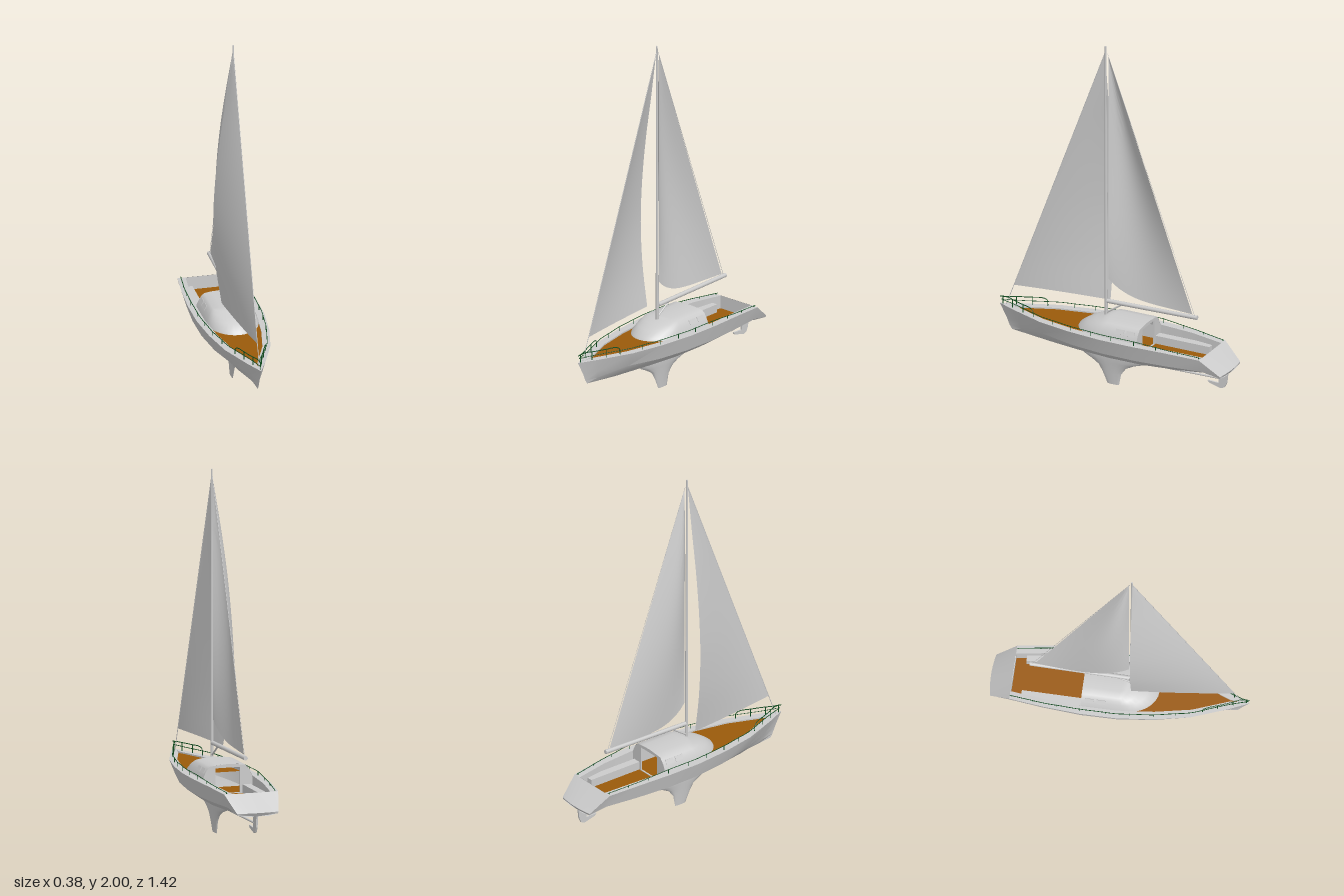
import * as THREE from 'three';
import { toCreasedNormals } from 'three/addons/utils/BufferGeometryUtils.js';

const GREY = 0xcccccc, WOOD = 0x9a5a0a, GREEN = 0x0f4d1f;
const V = (x, y, z) => new THREE.Vector3(x, y, z);
const lerp = THREE.MathUtils.lerp;
const range = (n, f) => Array.from({ length: n + 1 }, (_, i) => f(i / n));

function material(color) {
  return new THREE.MeshStandardMaterial({ color, side: THREE.DoubleSide });
}

function add(group, name, geometry, color = GREY) {
  const mesh = new THREE.Mesh(geometry, material(color));
  mesh.name = name;
  group.add(mesh);
  return mesh;
}

// Skin through rows of [x, y, z] points, all rows of equal length
function skin(rows, crease = 0.5) {
  const n = rows[0].length, index = [];
  for (let i = 0; i < rows.length - 1; i++) {
    for (let j = 0; j < n - 1; j++) {
      const a = i * n + j, b = a + n;
      index.push(a, b, a + 1, b, b + 1, a + 1);
    }
  }
  const g = new THREE.BufferGeometry();
  g.setAttribute('position', new THREE.Float32BufferAttribute(rows.flat(2), 3));
  g.setIndex(index);
  return toCreasedNormals(g, crease);
}

function rod(group, name, a, b, r, color = GREY, r2 = r) {
  const m = add(group, name, new THREE.CylinderGeometry(r2, r, a.distanceTo(b), 10), color);
  m.position.copy(a).add(b).multiplyScalar(0.5);
  m.quaternion.setFromUnitVectors(V(0, 1, 0), b.clone().sub(a).normalize());
  return m;
}

function tube(group, name, points, r, color) {
  const curve = new THREE.CatmullRomCurve3(points, false, 'centripetal');
  return add(group, name, new THREE.TubeGeometry(curve, points.length * 5, r, 6), color);
}

// Flat plate drawn in (z, y), with its thickness along x
function plate(points, t) {
  const s = new THREE.Shape(points.map(([z, y]) => new THREE.Vector2(-z, y)));
  const g = new THREE.ExtrudeGeometry(s, { depth: t, bevelEnabled: false });
  return g.translate(0, 0, -t / 2).rotateY(Math.PI / 2);
}

// Hull stations: sheer z, half width, y; keel z, y; chine half width, y
const STATIONS = [
  [0.71, 0, 0.34, 0.635, 0.2, 0, 0.262],
  [0.6, 0.05, 0.34, 0.56, 0.192, 0.03, 0.262],
  [0.4, 0.127, 0.34, 0.4, 0.175, 0.092, 0.257],
  [0.2, 0.168, 0.34, 0.2, 0.162, 0.138, 0.25],
  [0, 0.19, 0.34, 0, 0.155, 0.162, 0.248],
  [-0.2, 0.192, 0.34, -0.2, 0.157, 0.165, 0.247],
  [-0.4, 0.179, 0.337, -0.4, 0.174, 0.152, 0.248],
  [-0.59, 0.155, 0.325, -0.59, 0.2, 0.132, 0.25],
  [-0.7, 0.12, 0.235, -0.7, 0.215, 0.115, 0.225],
];

// Sheer half width and height at z
function sheer(z) {
  let i = 1;
  while (i < STATIONS.length - 1 && STATIONS[i][0] > z) i++;
  const a = STATIONS[i - 1], b = STATIONS[i], t = (z - a[0]) / (b[0] - a[0]);
  return { w: lerp(a[1], b[1], t), y: lerp(a[2], b[2], t) };
}
const inner = z => Math.max(sheer(z).w - 0.045, 0);

function buildHull(boat) {
  add(boat, 'hull', skin(STATIONS.map(([zs, w, y, zk, yk, wc, yc]) => {
    const half = [[w, y, zs], [wc, yc, lerp(zs, zk, 0.57)],
      [wc * 0.5, lerp(yc, yk, 0.55) - 0.006, lerp(zs, zk, 0.8)]];
    const mirrored = half.map(([x, py, z]) => [-x, py, z]).reverse();
    return [...half, [0, yk, zk], ...mirrored];
  }), 0.4));
  const across = f => range(12, t => f(t * 2 - 1));
  add(boat, 'transom', skin([
    across(u => [0.155 * u, 0.325, -0.59]),
    across(u => [0.12 * u, 0.235, -0.7 - 0.012 * (1 - u * u)]),
    across(u => [0.115 * u, 0.215 + 0.01 * Math.abs(u), -0.7]),
  ]));

  // Side decks, with a step to the foredeck and a wall to the cockpit floor
  const foreZ = [0.66, 0.6, 0.5, 0.4, 0.3, 0.2, 0.1, 0];
  const aftZ = [0, -0.1, -0.2, -0.3, -0.4, -0.5, -0.59];
  for (const s of [1, -1]) {
    add(boat, 'sideDeck', skin([0.71, ...foreZ, ...aftZ.slice(1)].map(z =>
      [[s * sheer(z).w, sheer(z).y, z], [s * inner(z), sheer(z).y, z]])));
    add(boat, 'deckStep', skin(foreZ.map(z => [[s * inner(z), 0.34, z], [s * inner(z), 0.33, z]])));
    add(boat, 'cockpitWall', skin(aftZ.map(z =>
      [[s * inner(z), sheer(z).y, z], [s * inner(z), 0.25, z]])));
    const bench = add(boat, 'bench', new THREE.BoxGeometry(0.045, 0.05, 0.33));
    bench.position.set(s * 0.108, 0.273, -0.365);
  }
  add(boat, 'foredeck', skin(foreZ.map(z => [[-inner(z), 0.332, z], [inner(z), 0.332, z]])), WOOD);
  add(boat, 'cockpitFloor', skin(aftZ.map(z => [[-inner(z), 0.251, z], [inner(z), 0.251, z]])), WOOD);
  add(boat, 'cockpitAftWall', skin([[[-0.155, 0.325, -0.588], [0.155, 0.325, -0.588]],
    [[-0.11, 0.25, -0.588], [0.11, 0.25, -0.588]]]));

  // Fin keel: y, front z, back z, half thickness
  const fin = [[0.17, 0.21, -0.21, 0.022], [0.152, 0.19, -0.18, 0.021], [0.13, 0.145, -0.11, 0.018],
    [0.105, 0.105, -0.062, 0.015], [0.065, 0.08, -0.033, 0.01], [0, 0.05, -0.02, 0.004]];
  const ring = ([y, zf, zb, t]) => range(20, k => {
    const a = k * Math.PI * 2;
    return [t * Math.sin(a), y, lerp(zb, zf, 0.5 + 0.5 * Math.cos(a))];
  });
  add(boat, 'keel', skin([...fin.map(ring), ring([0, 0.015, 0.015, 0])], 0.8));
  add(boat, 'rudder', plate([[-0.63, 0.212], [-0.69, 0.216], [-0.682, 0.15], [-0.668, 0.122],
    [-0.645, 0.114], [-0.575, 0.132], [-0.565, 0.145], [-0.632, 0.142]], 0.01));
  rod(boat, 'rudderStrut', V(0, 0.165, -0.25), V(0, 0.17, -0.64), 0.006);
}

function buildCabin(boat) {
  const cabin = new THREE.Group();
  cabin.name = 'cabin';
  // U-shaped outlines: height, half width, start of nose, nose tip
  const outline = ([y, w, z0, z1]) => {
    const side = range(4, t => [w, y, lerp(-0.2, z0, t)]);
    const nose = range(16, t => [w * Math.cos(t * Math.PI), y, z0 + (z1 - z0) * Math.sin(t * Math.PI)]);
    return [...side, ...nose.slice(1), ...side.slice(0, -1).reverse().map(p => [-p[0], p[1], p[2]])];
  };
  add(cabin, 'cabinShell', skin([[0.33, 0.145, 0.03, 0.215], [0.345, 0.141, 0.03, 0.205],
    [0.375, 0.127, 0.02, 0.16], [0.395, 0.114, 0.01, 0.11], [0.407, 0.1, 0, 0.06],
    [0.413, 0.06, 0, 0.045], [0.416, 0, 0, 0.03]].map(outline), 0.6));

  // Rear bulkhead with the companionway opening
  const wall = new THREE.Shape([[-0.143, 0.25], [0.143, 0.25], [0.143, 0.335], [0.127, 0.375],
    [0.1, 0.407], [0, 0.415], [-0.1, 0.407], [-0.127, 0.375], [-0.143, 0.335]].map(p => new THREE.Vector2(...p)));
  wall.holes.push(new THREE.Path([[-0.07, 0.255], [-0.07, 0.395], [0.07, 0.395], [0.07, 0.255]]
    .map(p => new THREE.Vector2(...p))));
  add(cabin, 'bulkhead', new THREE.ExtrudeGeometry(wall, { depth: 0.008, bevelEnabled: false })).position.z = -0.2;

  for (const s of [1, -1]) {
    for (const [z, len] of [[-0.155, 0.05], [-0.09, 0.05]]) {
      const pane = add(cabin, 'window', new THREE.BoxGeometry(0.005, 0.028, len));
      pane.position.set(s * 0.124, 0.38, z);
      pane.rotation.z = s * 0.5;
    }
  }
  boat.add(cabin);
}

function buildRig(boat) {
  rod(boat, 'mast', V(0, 0.405, 0.058), V(0, 2, 0.062), 0.009, GREY, 0.005);
  rod(boat, 'boom', V(0, 0.488, 0.05), V(0, 0.5, -0.5), 0.012);
  rod(boat, 'boomStrut', V(0, 0.42, 0.055), V(0, 0.485, -0.04), 0.005);
  rod(boat, 'forestay', V(0, 0.34, 0.67), V(0, 1.97, 0.062), 0.002);
  rod(boat, 'toppingLift', V(0, 0.505, -0.485), V(0, 1.96, 0.05), 0.0012);

  add(boat, 'mainSail', skin(range(28, s => range(16, u => {
    const foot = 0.515 + 0.105 * (1 - u) ** 5;
    const belly = 0.06 * Math.sin(Math.PI * u ** 0.8) * Math.sin(Math.PI * (0.08 + 0.92 * s));
    return [-belly, lerp(foot, 1.95, s), 0.045 - 0.515 * u * (1 - s)];
  })), 3));

  // Headsail: sideways set of its trailing edge by height
  const set = new THREE.SplineCurve([[0.465, 0.066], [0.7, 0.1], [0.95, 0.113], [1.2, 0.102],
    [1.45, 0.075], [1.7, 0.037], [1.97, 0]].map(p => new THREE.Vector2(...p)));
  add(boat, 'headSail', skin(range(30, s => {
    const p = set.getPoint(s), t = (p.x - 0.465) / 1.505;
    return range(16, u => [-p.y * u * (1.3 - 0.3 * u), p.x, lerp(lerp(0.625, 0.062, t), 0.066, u)]);
  }), 3));
}

function buildRails(boat) {
  const railX = z => Math.max(sheer(z).w - 0.018, 0);
  const railY = z => (z > -0.2 ? 0.364 : lerp(0.364, 0.332, (-0.2 - z) / 0.39));
  for (const s of [1, -1]) {
    tube(boat, 'guardRail', [0.7, 0.6, 0.5, 0.4, 0.3, 0.2, 0.1, 0, -0.1, -0.2, -0.3, -0.4, -0.5, -0.59]
      .map(z => V(s * railX(z), railY(z), z)), 0.002, GREEN);
    for (const z of [0.32, 0.2, 0.07, -0.06, -0.2, -0.33, -0.46, -0.58]) {
      rod(boat, 'stanchion', V(s * railX(z), sheer(z).y - 0.003, z), V(s * railX(z), railY(z) + 0.002, z), 0.002, GREEN);
    }
    // Bow rail
    tube(boat, 'bowRail', [V(0, 0.38, 0.708), ...[0.66, 0.6, 0.54, 0.49].map(z => V(s * railX(z), 0.386, z)),
      V(s * railX(0.465), 0.375, 0.465), V(s * railX(0.46), 0.34, 0.46)], 0.0025, GREEN);
    for (const z of [0.69, 0.62, 0.54]) {
      rod(boat, 'bowPost', V(s * railX(z), 0.338, z), V(s * railX(z), 0.385, z), 0.0025, GREEN);
    }
  }
}

export function createModel() {
  const boat = new THREE.Group();
  boat.name = 'sailboat';
  buildHull(boat);
  buildCabin(boat);
  buildRig(boat);
  buildRails(boat);
  return boat;
}
